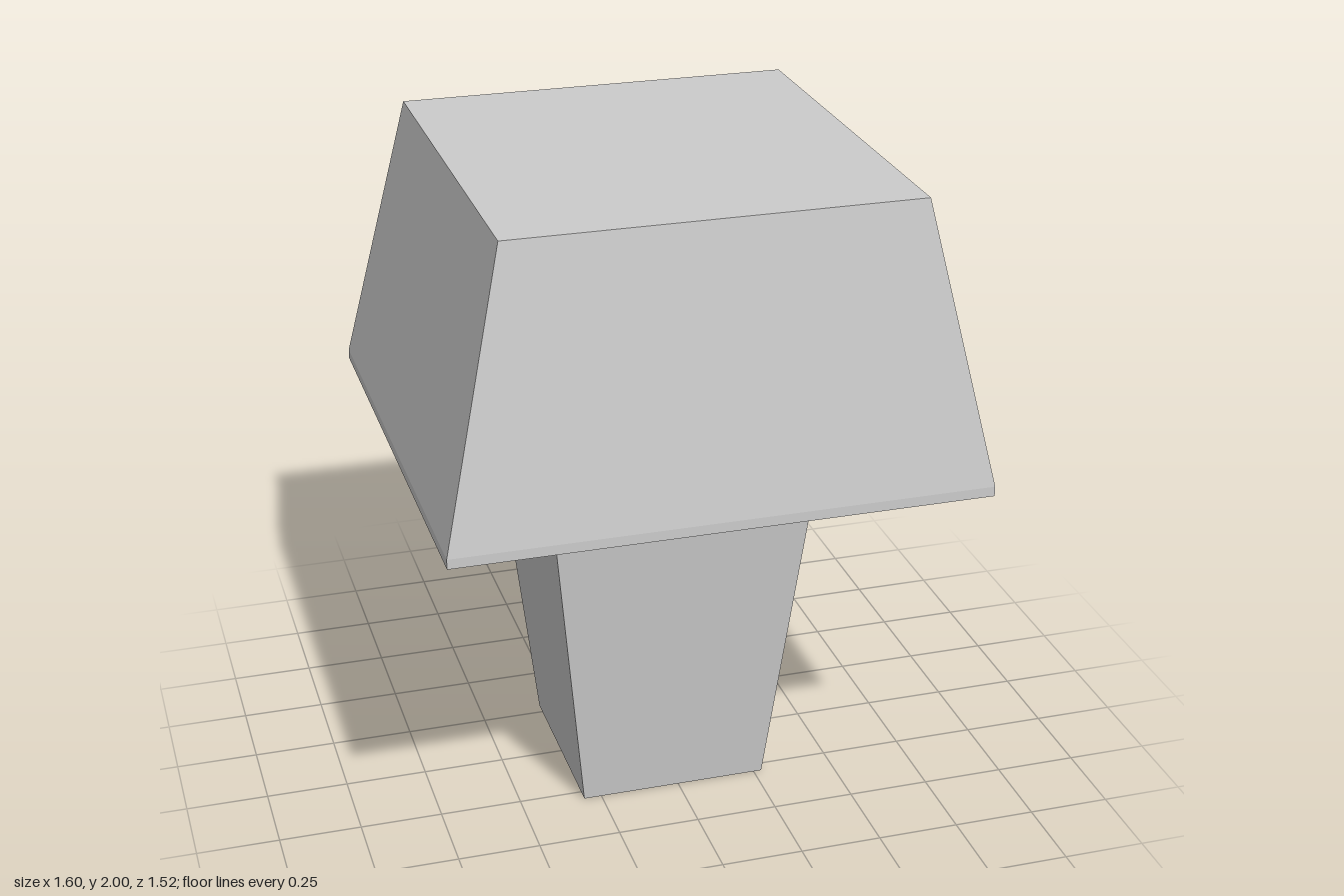
import * as THREE from 'three';

const material = new THREE.MeshStandardMaterial({ color: 0xcccccc, flatShading: true });

// Box whose upper vertices are scaled to a different width and depth.
function taperedBox(bottom, top, y0, y1) {
  const geometry = new THREE.BoxGeometry(1, y1 - y0, 1);
  geometry.translate(0, (y0 + y1) / 2, 0);
  const p = geometry.attributes.position;
  for (let i = 0; i < p.count; i++) {
    const [w, d] = p.getY(i) > (y0 + y1) / 2 ? top : bottom;
    p.setX(i, p.getX(i) * w);
    p.setZ(i, p.getZ(i) * d);
  }
  geometry.computeVertexNormals();
  return geometry;
}

// Rectangular rings joined into a closed shell: [y, halfWidth, halfDepth].
function shell(rings) {
  const pos = [];
  const corner = ([y, w, d], i) => [[w, y, d], [w, y, -d], [-w, y, -d], [-w, y, d]][i % 4];
  const quad = (a, b, c, d) => pos.push(...a, ...b, ...c, ...a, ...c, ...d);
  for (let r = 0; r < rings.length - 1; r++) {
    for (let i = 0; i < 4; i++) {
      quad(corner(rings[r], i), corner(rings[r], i + 1), corner(rings[r + 1], i + 1), corner(rings[r + 1], i));
    }
  }
  const low = rings[0], high = rings[rings.length - 1];
  quad(...[3, 2, 1, 0].map((i) => corner(low, i)));
  quad(...[0, 1, 2, 3].map((i) => corner(high, i)));
  const geometry = new THREE.BufferGeometry();
  geometry.setAttribute('position', new THREE.Float32BufferAttribute(pos, 3));
  geometry.computeVertexNormals();
  return geometry;
}

export function createModel() {
  const model = new THREE.Group();
  model.name = 'taperedLamp';
  const add = (name, geometry, x = 0, y = 0, z = 0) => {
    const mesh = new THREE.Mesh(geometry, material);
    mesh.name = name;
    mesh.position.set(x, y, z);
    model.add(mesh);
  };

  // Solid shade with a short upright rim
  add('shade', shell([[1.12, 0.8, 0.76], [1.15, 0.8, 0.76], [2, 0.607, 0.64]]));

  // Base, widening upward and set slightly off centre
  add('base', taperedBox([0.58, 0.58], [0.82, 0.82], 0, 1.125), -0.015);

  // Small tabs under the shade, one on each face of the base
  const tabHeight = 0.19, tabY = 1.032, depth = 0.1;
  const frontTab = new THREE.BoxGeometry(0.075, tabHeight, depth);
  const sideTab = new THREE.BoxGeometry(depth, tabHeight, 0.075);
  add('frontTab', frontTab, -0.017, tabY, 0.408 - depth / 2);
  add('backTab', frontTab, -0.017, tabY, -0.41 + depth / 2);
  add('leftTab', sideTab, 0.425 - depth / 2, tabY, 0.017);
  add('rightTab', sideTab, -0.43 + depth / 2, tabY, 0.017);

  return model;
}
